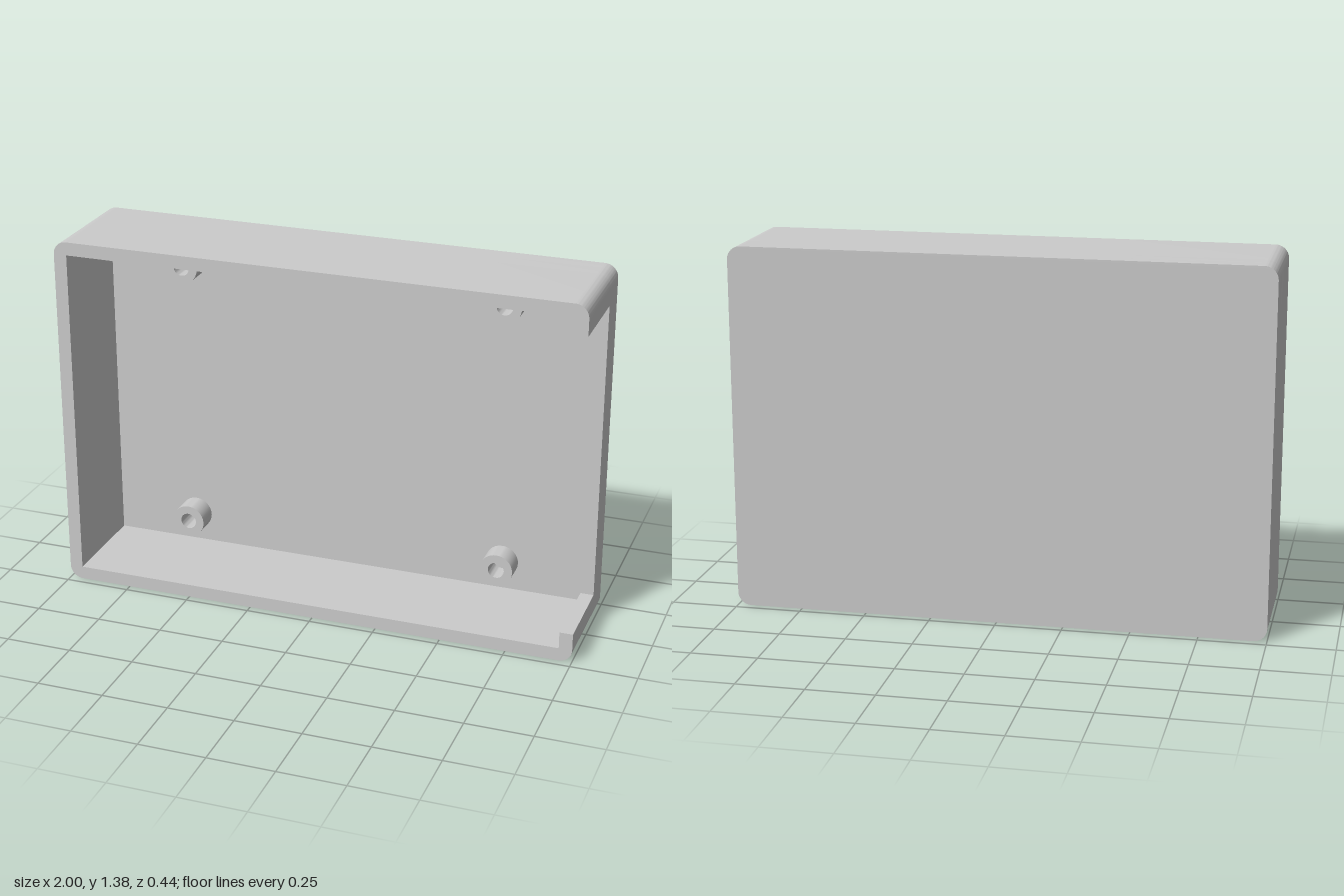
import * as THREE from 'three';
import { toCreasedNormals } from 'three/addons/utils/BufferGeometryUtils.js';

const W = 1, H = 1.376, R = 0.05, T = 0.05;      // half width, height, corner radius, wall
const BACK = -0.22, FLOOR = -0.165, SILL = -0.1, FRONT = 0.22;
const WIN_LOW = 0.115, WIN_HIGH = 1.262;         // side opening

const material = new THREE.MeshStandardMaterial({ color: 0xcccccc });

function addMesh(parent, name, geometry) {
  const mesh = new THREE.Mesh(toCreasedNormals(geometry, 0.6), material);
  mesh.name = name;
  parent.add(mesh);
  return mesh;
}

// Rounded outline, from the top of the side opening round to its bottom
function traceOutline(shape) {
  shape.moveTo(W, WIN_HIGH);
  shape.lineTo(W, H - R);
  shape.absarc(W - R, H - R, R, 0, Math.PI / 2);
  shape.lineTo(-W + R, H);
  shape.absarc(-W + R, H - R, R, Math.PI / 2, Math.PI);
  shape.lineTo(-W, R);
  shape.absarc(-W + R, R, R, Math.PI, Math.PI * 1.5);
  shape.lineTo(W - R, 0);
  shape.absarc(W - R, R, R, Math.PI * 1.5, Math.PI * 2);
  shape.lineTo(W, WIN_LOW);
  return shape;
}

function slab(shape, z0, z1) {
  const geometry = new THREE.ExtrudeGeometry(shape, { depth: z1 - z0, bevelEnabled: false, curveSegments: 10 });
  return geometry.translate(0, 0, z0);
}

export function createModel() {
  const group = new THREE.Group();
  group.name = 'enclosure';
  const x = W - T, low = T, high = H - T;

  // Closed back
  addMesh(group, 'backPlate', slab(traceOutline(new THREE.Shape()), BACK, FLOOR));

  // Full ring of wall up to the sill of the side opening
  const ring = traceOutline(new THREE.Shape());
  const hole = new THREE.Path();
  hole.moveTo(-x, low).lineTo(-x, high).lineTo(x, high).lineTo(x, low).closePath();
  ring.holes.push(hole);
  addMesh(group, 'lowerWall', slab(ring, FLOOR, SILL));

  // Wall interrupted by the side opening
  const open = traceOutline(new THREE.Shape());
  open.lineTo(x, WIN_LOW).lineTo(x, low).lineTo(-x, low);
  open.lineTo(-x, high).lineTo(x, high).lineTo(x, WIN_HIGH);
  addMesh(group, 'openWall', slab(open, SILL, FRONT));

  // Four hollow screw posts on the floor
  const top = -0.08 - FLOOR;
  const profile = [[0.063, 0], [0.063, top], [0.031, top], [0.031, 0]].map(p => new THREE.Vector2(...p));
  for (const px of [-0.627, 0.627]) {
    for (const py of [0.163, 1.217]) {
      const post = addMesh(group, 'screwPost', new THREE.LatheGeometry(profile, 40).rotateX(Math.PI / 2));
      post.position.set(px, py, FLOOR);
    }
  }
  return group;
}
